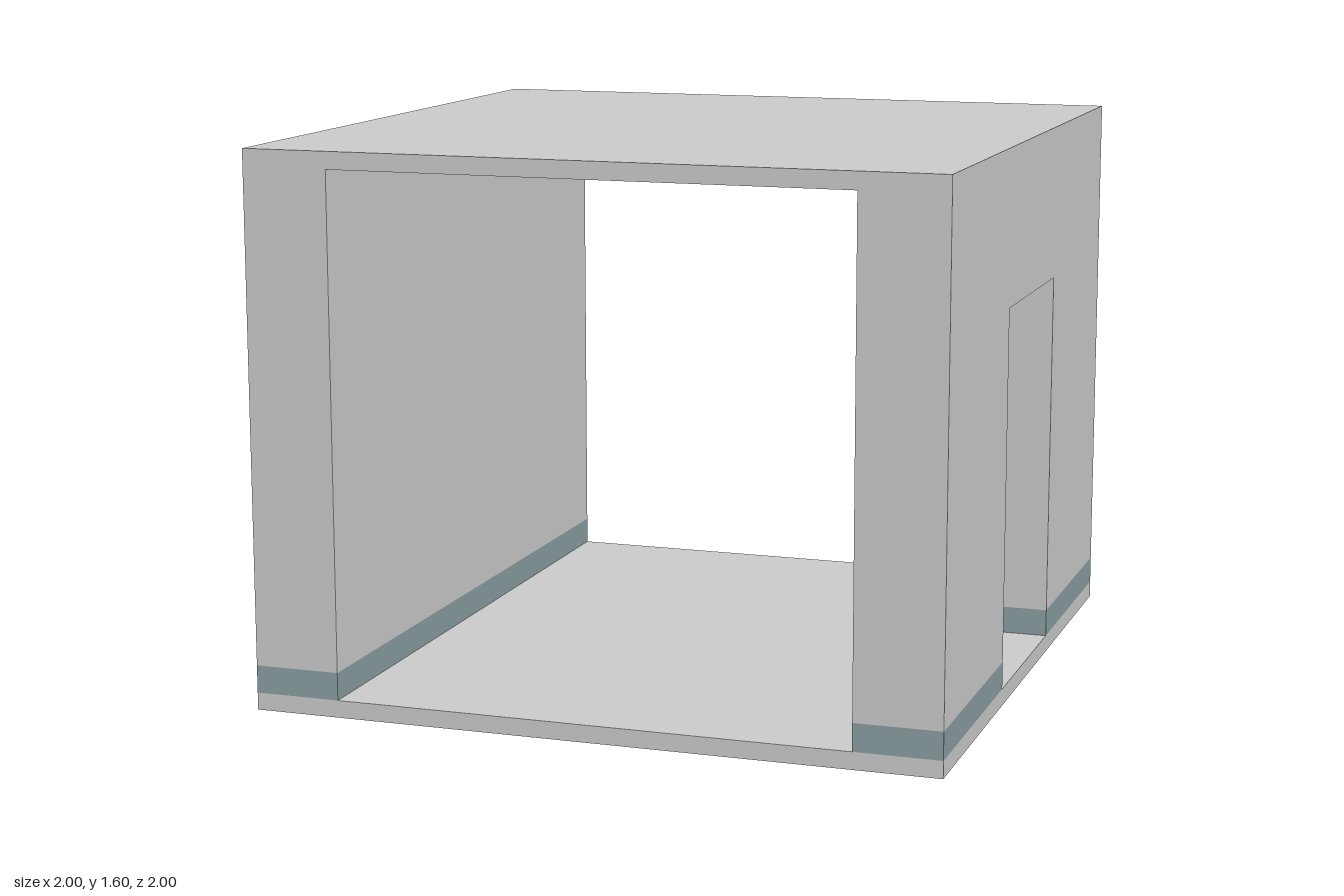
import * as THREE from 'three';

const wallGrey = new THREE.MeshStandardMaterial({ color: 0xcacaca });
wallGrey.name = 'wall grey';
const skirtTeal = new THREE.MeshStandardMaterial({ color: 0x889ca0 });
skirtTeal.name = 'skirting teal grey';
const frameGrey = new THREE.MeshStandardMaterial({ color: 0x7c7c7c });
frameGrey.name = 'door frame grey';

const FLOOR = 0.05, SKIRT = 0.13, DOOR = 1.15, CEILING = 1.55, TOP = 1.6;
const INNER = 0.75, HALF_DOOR = 0.3, TRIM = 0.03;

// Box given by its bounds on each axis
function block(name, material, [x0, x1], [y0, y1], [z0, z1]) {
  const mesh = new THREE.Mesh(new THREE.BoxGeometry(x1 - x0, y1 - y0, z1 - z0), material);
  mesh.position.set((x0 + x1) / 2, (y0 + y1) / 2, (z0 + z1) / 2);
  mesh.name = name;
  return mesh;
}

// Extrudes an outline drawn in (z, y) along x, from x0 to x1
function sidePanel(name, material, outline, x0, x1) {
  const shape = new THREE.Shape(outline.map(([z, y]) => new THREE.Vector2(-z, y)));
  const geometry = new THREE.ExtrudeGeometry(shape, { depth: x1 - x0, bevelEnabled: false });
  geometry.rotateY(Math.PI / 2).translate(x0, 0, 0);
  const mesh = new THREE.Mesh(geometry, material);
  mesh.name = name;
  return mesh;
}

// Upside-down U around the doorway
function arch(halfOut, top, halfIn, head, base) {
  return [[-halfOut, base], [-halfOut, top], [halfOut, top], [halfOut, base],
    [halfIn, base], [halfIn, head], [-halfIn, head], [-halfIn, base]];
}

export function createModel() {
  const group = new THREE.Group();
  group.name = 'corridorSection';

  // Floor and ceiling slabs
  group.add(block('floor', wallGrey, [-1, 1], [0, FLOOR], [-1, 1]));
  group.add(block('ceiling', wallGrey, [-1, 1], [CEILING, TOP], [-1, 1]));

  // Solid right-hand wall with its skirting band
  group.add(block('rightWall', wallGrey, [-1, -INNER], [SKIRT, CEILING], [-1, 1]));
  group.add(block('rightSkirting', skirtTeal, [-1, -INNER], [FLOOR, SKIRT], [-1, 1]));

  // Left-hand wall with the doorway, skirting on either side of it
  group.add(sidePanel('doorwayWall', wallGrey, arch(1, CEILING, HALF_DOOR, DOOR, SKIRT), INNER, 1));
  group.add(block('doorwaySkirtingFront', skirtTeal, [INNER, 1], [FLOOR, SKIRT], [HALF_DOOR, 1]));
  group.add(block('doorwaySkirtingBack', skirtTeal, [INNER, 1], [FLOOR, SKIRT], [-1, -HALF_DOOR]));

  // Raised trim round the doorway, on the inside
  group.add(sidePanel('doorFrame', frameGrey,
    arch(HALF_DOOR + TRIM, DOOR + TRIM, HALF_DOOR, DOOR, FLOOR), INNER - TRIM, INNER));

  // Two shallow panels under the ceiling
  for (const z of [-0.5, 0.5]) {
    group.add(block(z > 0 ? 'ceilingPanelFront' : 'ceilingPanelBack', wallGrey,
      [-0.25, 0.25], [CEILING - 0.015, CEILING], [z - 0.3, z + 0.3]));
  }
  return group;
}
